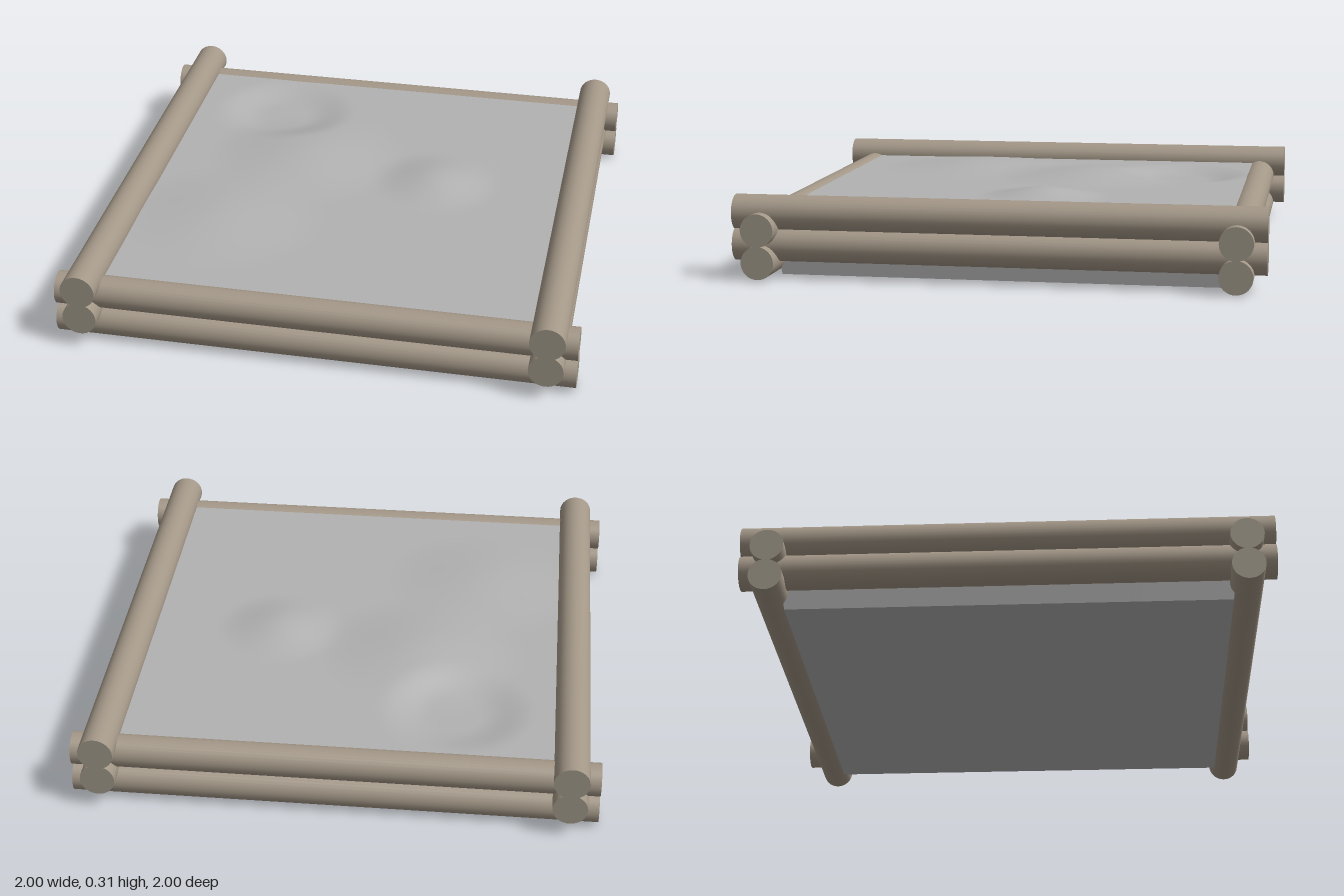
import * as THREE from 'three';

export function createModel() {
  const model = new THREE.Group();
  model.name = 'sandbox';

  const bark = new THREE.MeshStandardMaterial({ color: 0xa39787 });
  bark.name = 'weathered wood';
  const cutWood = new THREE.MeshStandardMaterial({ color: 0x9f9888 });
  cutWood.name = 'cut wood';
  const sandGrey = new THREE.MeshStandardMaterial({ color: 0xb2b2b2 });
  sandGrey.name = 'grey sand';

  // Log frame: two stacked logs per side, crossing at the corners
  const addLog = (name, radius, alongX, offset, y) => {
    const geometry = new THREE.CylinderGeometry(radius, radius, 2, 32);
    if (alongX) geometry.rotateZ(Math.PI / 2);
    else geometry.rotateX(Math.PI / 2);
    const log = new THREE.Mesh(geometry, [bark, cutWood, cutWood]);
    log.name = name;
    log.position.set(alongX ? 0 : offset, y, alongX ? offset : 0);
    model.add(log);
  };
  for (const s of [1, -1]) {
    const end = s > 0 ? 'front' : 'back';
    const side = s > 0 ? 'left' : 'right';
    addLog(end + 'LowerLog', 0.063, true, s * 0.89, 0.068);
    addLog(end + 'UpperLog', 0.063, true, s * 0.89, 0.191);
    addLog(side + 'LowerLog', 0.066, false, s * 0.89, 0.127);
    addLog(side + 'UpperLog', 0.067, false, s * 0.89, 0.246);
  }

  // Sand bed: a block with soft mounds and one flat-bottomed hollow on top
  const level = 0.245;
  const bumps = [
    // x, z, height, radius
    [-0.27, -0.2, 0.034, 0.42],
    [-0.5, 0.35, 0.026, 0.42],
    [0.31, -0.08, 0.036, 0.26],
  ];
  const smooth = (t) => t * t * (3 - 2 * t);
  const sandHeight = (x, z) => {
    let y = level;
    for (const [bx, bz, h, r] of bumps) {
      const d = Math.hypot(x - bx, z - bz);
      y += h * smooth(Math.max(0, 1 - d / r));
    }
    const d = Math.hypot(x + 0.44, z + 0.57);
    const dip = Math.min(1, Math.max(0, (0.3 - d) / 0.19));
    return y - 0.03 * smooth(dip);
  };
  const sandGeometry = new THREE.BoxGeometry(1.68, level, 1.68, 64, 1, 64);
  sandGeometry.translate(0, level / 2, 0);
  const p = sandGeometry.attributes.position;
  for (let i = 0; i < p.count; i++) {
    if (p.getY(i) < 0.1) continue;
    // the top flares slightly into the logs
    const x = p.getX(i) * 1.035;
    const z = p.getZ(i) * 1.035;
    p.setXYZ(i, x, sandHeight(x, z), z);
  }
  sandGeometry.computeVertexNormals();
  const sand = new THREE.Mesh(sandGeometry, sandGrey);
  sand.name = 'sand';
  model.add(sand);

  return model;
}
